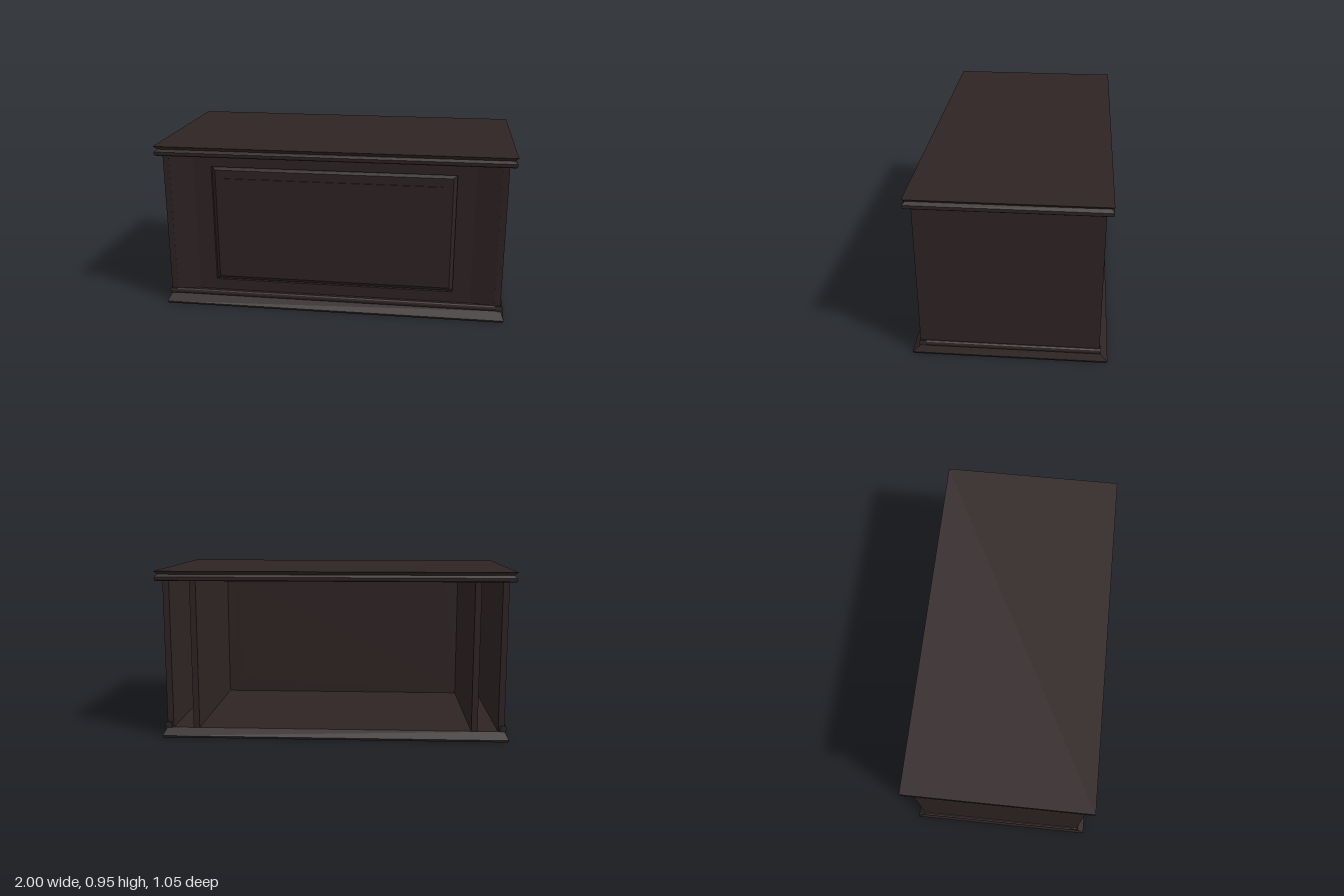
import * as THREE from 'three';

// Stacked rectangles: each level is [height, half width, half depth]
function loft(levels) {
  const pos = [], idx = [];
  for (const [y, hx, hz] of levels) {
    pos.push(-hx, y, hz, hx, y, hz, hx, y, -hz, -hx, y, -hz);
  }
  for (let l = 0; l < levels.length - 1; l++) {
    for (let i = 0; i < 4; i++) {
      const a = l * 4 + i, b = l * 4 + (i + 1) % 4;
      idx.push(a, b, b + 4, a, b + 4, a + 4);
    }
  }
  const t = (levels.length - 1) * 4;
  idx.push(t, t + 1, t + 2, t, t + 2, t + 3, 0, 2, 1, 0, 3, 2);
  const g = new THREE.BufferGeometry();
  g.setAttribute('position', new THREE.Float32BufferAttribute(pos, 3));
  g.setIndex(idx);
  const flat = g.toNonIndexed();
  flat.computeVertexNormals();
  return flat;
}

function polygon(points) {
  return new THREE.Shape(points.map(([x, y]) => new THREE.Vector2(x, y)));
}

function rect(hx, y0, y1) {
  return [[-hx, y0], [hx, y0], [hx, y1], [-hx, y1]];
}

export function createModel() {
  const group = new THREE.Group();
  const wood = new THREE.MeshStandardMaterial({ color: 0x2f2424 });
  wood.name = 'darkWood';

  const add = (name, geometry, x = 0, y = 0, z = 0) => {
    const mesh = new THREE.Mesh(geometry, wood);
    mesh.name = name;
    mesh.position.set(x, y, z);
    group.add(mesh);
    return mesh;
  };

  const floorY = 0.05, topY = 0.9, height = topY - floorY, midY = (topY + floorY) / 2;

  // Plinth with splayed sides, and moulded top
  add('plinth', loft([[0, 0.975, 0.52], [0.012, 0.98, 0.525], [floorY, 0.963, 0.48]]));
  add('top', loft([
    [0.895, 0.99, 0.507], [0.9, 0.997, 0.514], [0.918, 0.997, 0.515],
    [0.932, 0.98, 0.503], [0.937, 0.985, 0.505], [0.95, 1, 0.515],
  ]));

  // Front panel frame around a bevelled field with a raised centre
  const frame = polygon(rect(0.79, floorY, topY));
  frame.holes.push(new THREE.Path(polygon(rect(0.688, 0.145, 0.83)).getPoints().reverse()));
  add('frontFrame', new THREE.ExtrudeGeometry(frame, { depth: 0.02, bevelEnabled: false }), 0, 0, 0.44);
  const field = loft([[0.435, 0.688, 0.3425], [0.443, 0.688, 0.3425], [0.457, 0.668, 0.3225]]);
  add('frontField', field.rotateX(Math.PI / 2), 0, 0.4875, 0);
  add('frontRaisedPanel', new THREE.BoxGeometry(1.23, 0.55, 0.008), 0, 0.4875, 0.459);

  // Bead moulding along front and sides
  const bead = (length) => {
    const profile = polygon([[-0.03, 0], [0.002, 0], [0.008, 0.008], [0.01, 0.016], [0.007, 0.026], [0, 0.032], [-0.03, 0.032]]);
    return new THREE.ExtrudeGeometry(profile, { depth: length, bevelEnabled: false }).translate(0, floorY, -length / 2);
  };
  add('frontBead', bead(1.94).rotateY(-Math.PI / 2), 0, 0, 0.478);

  for (const s of [-1, 1]) {
    const side = s > 0 ? 'left' : 'right';
    // Outer side board and inner partition, open at the back
    add(side + 'Side', new THREE.BoxGeometry(0.035, height, 0.96), s * 0.9425, midY, 0);
    add(side + 'Partition', new THREE.BoxGeometry(0.035, height, 0.93), s * 0.7925, midY, -0.015);

    // Slightly angled pilaster between side and front panel
    const plan = polygon([[s * 0.78, -0.456], [s * 0.93, -0.48], [s * 0.93, -0.455], [s * 0.78, -0.435]]);
    const pilaster = new THREE.ExtrudeGeometry(plan, { depth: height, bevelEnabled: false });
    add(side + 'Pilaster', pilaster.rotateX(-Math.PI / 2).scale(1, 1, 1), 0, floorY, 0);

    const strip = add(side + 'Bead', bead(0.972), s * 0.964, 0, 0);
    if (s < 0) strip.rotation.y = Math.PI;
  }
  return group;
}
